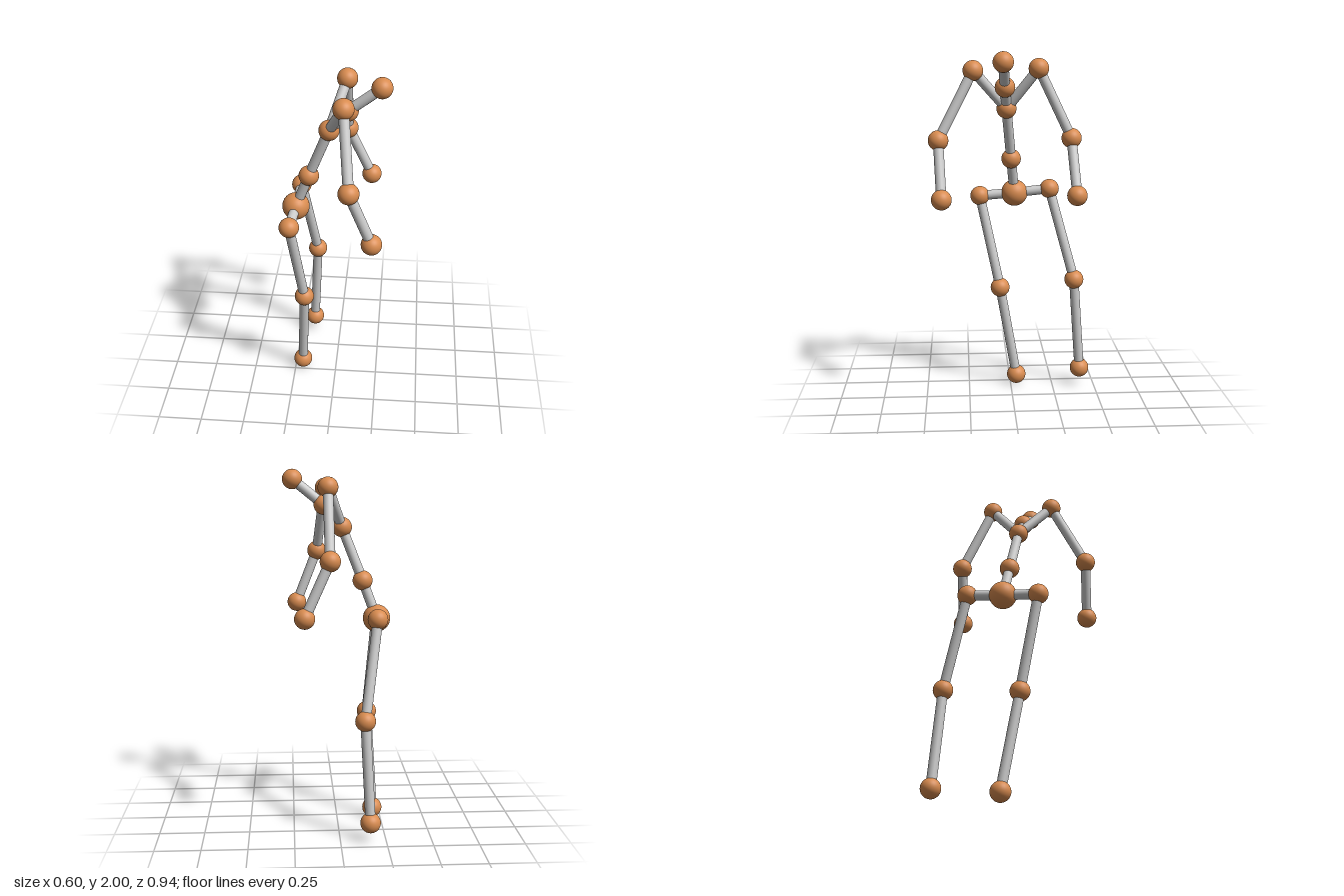
import * as THREE from 'three';

const ballMaterial = new THREE.MeshStandardMaterial({ color: 0xd98c50 });
ballMaterial.name = 'orange joint';
const boneMaterial = new THREE.MeshStandardMaterial({ color: 0xcccccc });
boneMaterial.name = 'light grey bone';

// Joint centres of the stooping figure, which leans towards +x
const joints = {
  pelvis: [-0.224, 1.173, -0.024],
  waist: [-0.146, 1.384, -0.001],
  chest: [-0.031, 1.68, 0.031],
  neck: [0.07, 1.803, 0.044],
  head: [0.245, 1.944, 0.061],
  leftShoulder: [0.054, 1.904, -0.142],
  leftElbow: [0.05, 1.522, -0.326],
  leftHand: [0.187, 1.221, -0.346],
  rightShoulder: [0.058, 1.893, 0.218],
  rightElbow: [0.099, 1.518, 0.411],
  rightHand: [0.22, 1.21, 0.396],
  leftHip: [-0.213, 1.197, -0.229],
  leftKnee: [-0.137, 0.665, -0.372],
  leftFoot: [-0.164, 0.106, -0.414],
  rightHip: [-0.241, 1.154, 0.178],
  rightKnee: [-0.177, 0.612, 0.063],
  rightFoot: [-0.204, 0.058, -0.035],
};

// Chains of joints linked by bones
const chains = [
  ['pelvis', 'waist', 'chest', 'neck', 'head'],
  ...['left', 'right'].flatMap((side) => [
    ['chest', `${side}Shoulder`, `${side}Elbow`, `${side}Hand`],
    ['pelvis', `${side}Hip`, `${side}Knee`, `${side}Foot`],
  ]),
];

const BALL_RADIUS = 0.056;
const PELVIS_RADIUS = 0.077;
const BONE_RADIUS = 0.028;

// A straight rod between two joint centres
function makeBone(from, to) {
  const a = new THREE.Vector3(...joints[from]);
  const b = new THREE.Vector3(...joints[to]);
  const direction = b.clone().sub(a);
  const geometry = new THREE.CylinderGeometry(BONE_RADIUS, BONE_RADIUS, direction.length(), 20);
  const bone = new THREE.Mesh(geometry, boneMaterial);
  bone.name = `${from} to ${to} bone`;
  bone.position.copy(a).add(b).multiplyScalar(0.5);
  bone.quaternion.setFromUnitVectors(new THREE.Vector3(0, 1, 0), direction.normalize());
  return bone;
}

export function createModel() {
  const model = new THREE.Group();
  model.name = 'stickFigure';

  // Joint balls, with a larger one at the pelvis
  for (const [name, position] of Object.entries(joints)) {
    const radius = name === 'pelvis' ? PELVIS_RADIUS : BALL_RADIUS;
    const ball = new THREE.Mesh(new THREE.SphereGeometry(radius, 32, 20), ballMaterial);
    ball.name = name;
    ball.position.set(...position);
    model.add(ball);
  }

  // Bones
  for (const chain of chains) {
    for (let i = 1; i < chain.length; i++) model.add(makeBone(chain[i - 1], chain[i]));
  }
  return model;
}
